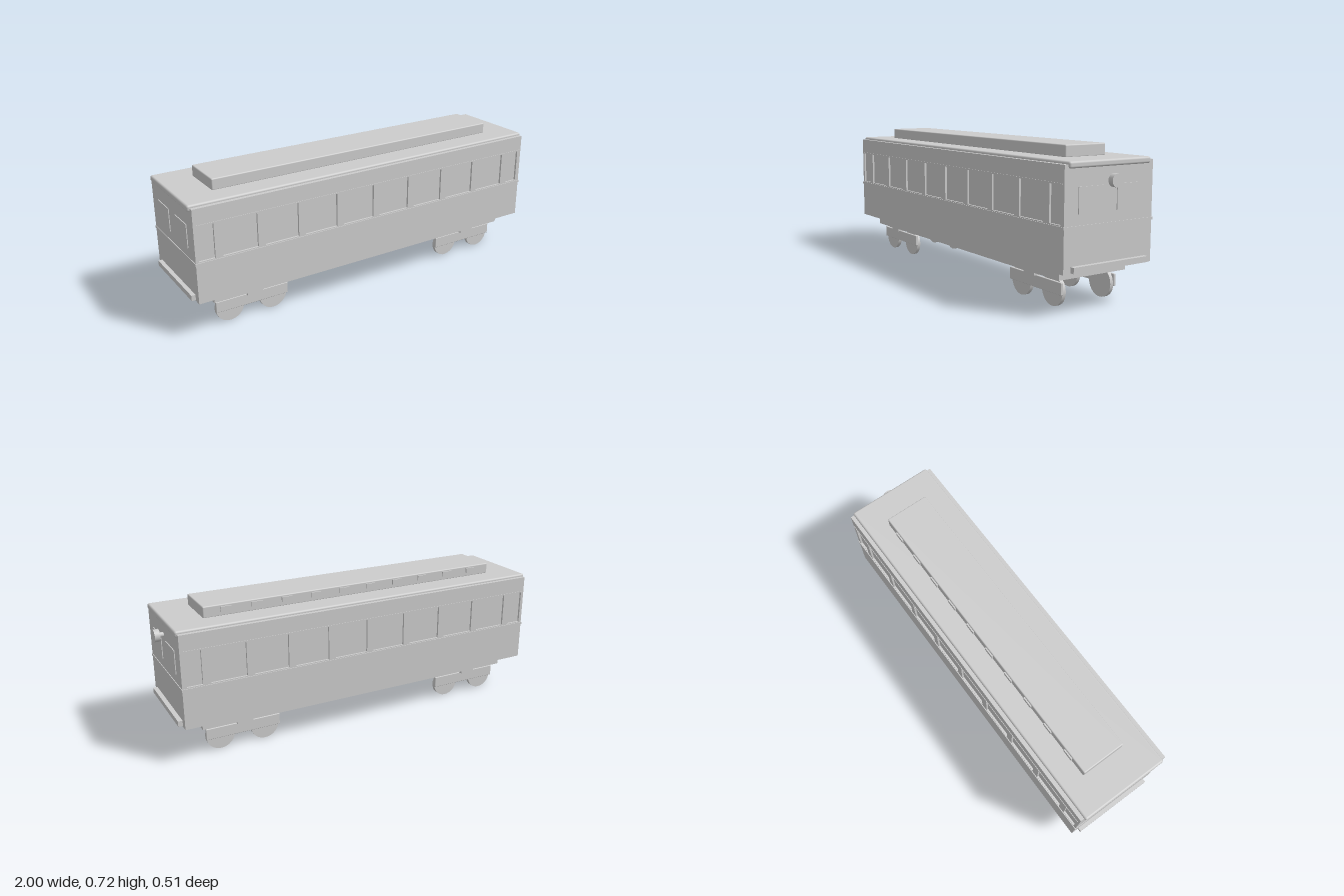
import * as THREE from 'three';
import { RoundedBoxGeometry } from 'three/addons/geometries/RoundedBoxGeometry.js';

export function createModel() {
  const car = new THREE.Group();
  car.name = 'railCar';
  const grey = new THREE.MeshStandardMaterial({ color: 0xcccccc });
  grey.name = 'lightGrey';

  const add = (name, geometry, parent = car) => {
    const mesh = new THREE.Mesh(geometry, grey);
    mesh.name = name;
    parent.add(mesh);
    return mesh;
  };
  // Box given by its limits on each axis
  const box = (name, x0, x1, y0, y1, z0, z1, parent = car, radius = 0) => {
    const size = [x1 - x0, y1 - y0, z1 - z0];
    const geometry = radius ? new RoundedBoxGeometry(...size, 3, radius) : new THREE.BoxGeometry(...size);
    const mesh = add(name, geometry, parent);
    mesh.position.set((x0 + x1) / 2, (y0 + y1) / 2, (z0 + z1) / 2);
    return mesh;
  };

  const X0 = -0.98, X1 = 0.953, WALL = 0.01, HALF = 0.25;

  // Inner body, whose sides form the recessed panes
  box('bodyCore', X0, X1, 0.19, 0.65, -HALF + WALL, HALF - WALL);

  // Side walls with window openings
  const rect = (target, x0, x1, y0, y1) => {
    target.moveTo(x0, y0);
    target.lineTo(x1, y0);
    target.lineTo(x1, y1);
    target.lineTo(x0, y1);
    target.closePath();
    return target;
  };
  const windows = [[-0.964, -0.885], [0.855, 0.93]];
  for (let i = 0; i < 8; i++) {
    const c = -0.76 + i * 0.2125;
    windows.push([c - 0.088, c + 0.088]);
  }
  const wall = rect(new THREE.Shape(), X0, X1, 0.19, 0.65);
  for (const [a, b] of windows) wall.holes.push(rect(new THREE.Path(), a, b, 0.397, 0.566));
  const wallGeometry = new THREE.ExtrudeGeometry(wall, { depth: WALL, bevelEnabled: false });
  for (const z of [-HALF, HALF - WALL]) add('sideWall', wallGeometry).position.z = z;

  // Belt rail and window head strips
  box('beltRail', X0 - 0.003, X1 + 0.003, 0.38, 0.392, -0.254, 0.254);
  for (const s of [-1, 1]) {
    const z = [s * 0.249, s * 0.2525].sort((a, b) => a - b);
    box('windowHead', X0 + 0.01, X1 - 0.01, 0.567, 0.573, ...z);
  }

  // End windows and buffer beams
  for (const [x0, x1] of [[X0 - 0.004, X0 + 0.001], [X1 - 0.001, X1 + 0.004]]) {
    box('endWindow', x0, x1, 0.44, 0.555, 0.04, 0.175);
    box('endWindow', x0, x1, 0.44, 0.555, -0.175, -0.04);
  }
  box('bufferBeam', -1, X0, 0.195, 0.222, -0.212, 0.212);
  box('bufferBeam', X1, 0.975, 0.195, 0.222, -0.212, 0.212);

  // Roof, raised roof box and its vents on the back side
  box('roof', -0.992, 0.962, 0.633, 0.663, -0.23, 0.23, car, 0.01);
  box('raisedRoof', -0.825, 0.793, 0.66, 0.717, -0.115, 0.115, car, 0.006);
  for (let i = 0; i < 10; i++) {
    const c = -0.71 + i * 0.1545;
    box('roofVent', c - 0.028, c + 0.028, 0.682, 0.707, -0.122, -0.112);
  }

  // Headlight
  const lamp = add('headlight', new THREE.CylinderGeometry(0.03, 0.03, 0.026, 32));
  lamp.rotation.z = Math.PI / 2;
  lamp.position.set(0.987, 0.575, 0);
  const neck = add('headlightNeck', new THREE.CylinderGeometry(0.012, 0.012, 0.03, 16));
  neck.rotation.z = Math.PI / 2;
  neck.position.set(0.963, 0.575, 0);

  // Underframe
  box('underframe', -0.885, 0.855, 0.14, 0.19, -0.193, 0.193);

  // Bogies
  const wheelGeometry = new THREE.CylinderGeometry(0.073, 0.073, 0.019, 32);
  for (const x of [-0.675, 0.64]) {
    const bogie = new THREE.Group();
    bogie.name = 'bogie';
    bogie.position.x = x;
    car.add(bogie);
    box('bolster', -0.04, 0.04, 0.127, 0.142, -0.193, 0.193, bogie);
    for (const s of [-1, 1]) {
      box('sideFrame', -0.191, 0.191, 0.063, 0.12, s * 0.154 - 0.007, s * 0.154 + 0.007, bogie, 0.003);
      for (const wx of [-0.115, 0.115]) {
        const wheel = add('wheel', wheelGeometry, bogie);
        wheel.rotation.x = Math.PI / 2;
        wheel.position.set(wx, 0.073, s * 0.14);
      }
    }
  }
  return car;
}
